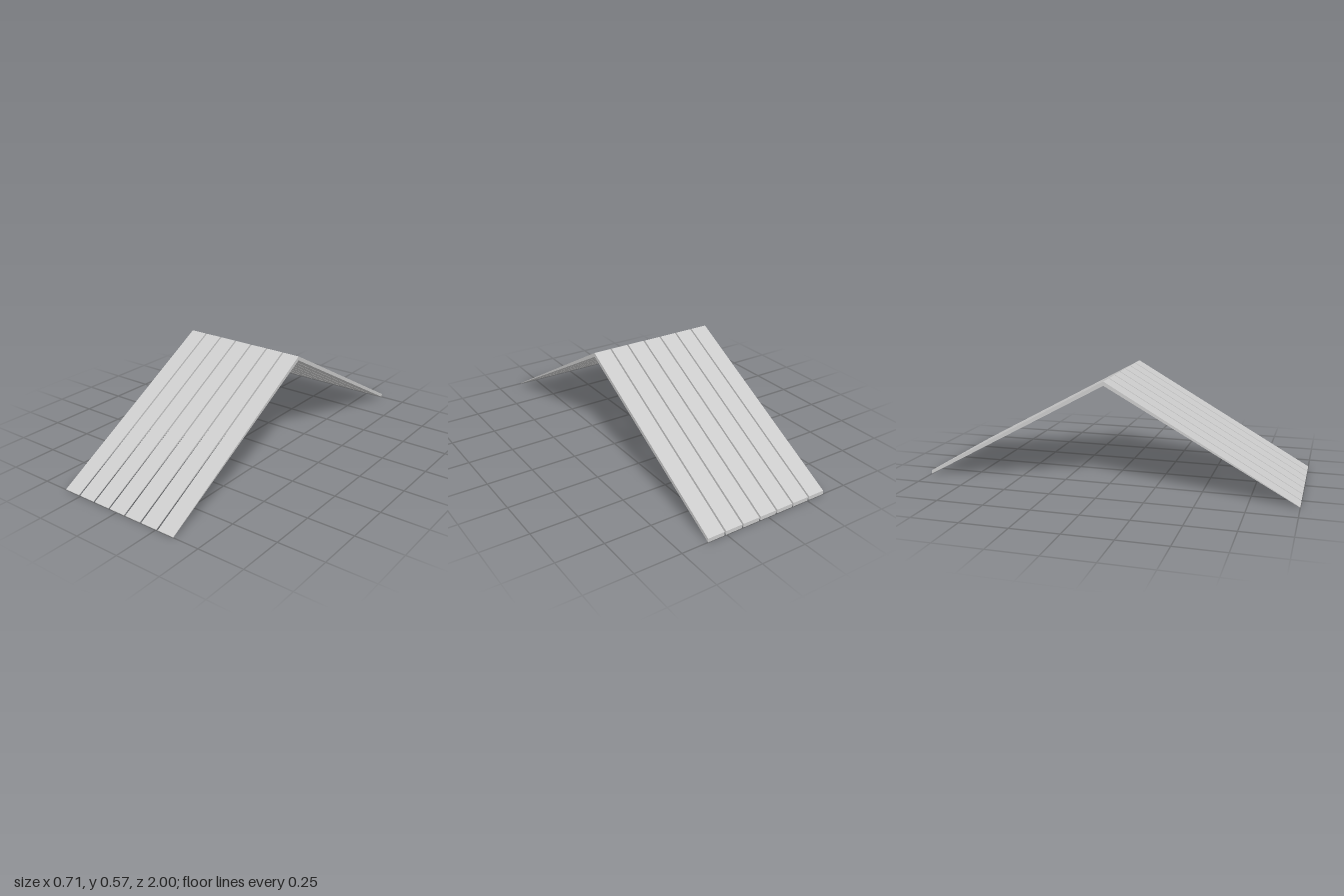
import * as THREE from 'three';

const SLATS = 7, PITCH = 0.103, WIDTH = 0.094;

export function createModel() {
  const group = new THREE.Group();
  group.name = 'slattedRoof';
  const material = new THREE.MeshStandardMaterial({ color: 0xcccccc, flatShading: true });

  // Side profile of one bent slat (front on -x): thin front eave, ridge, thicker back eave
  const profile = new THREE.Shape([
    [-1, 0], [0, 0.549], [1, 0], [1, 0.02], [0, 0.571], [-1, 0.003],
  ].map(([x, y]) => new THREE.Vector2(x, y)));

  // Extrude across the width, then turn so the profile runs along z
  const geometry = new THREE.ExtrudeGeometry(profile, { depth: WIDTH, bevelEnabled: false });
  geometry.translate(0, 0, -WIDTH / 2);
  geometry.rotateY(Math.PI / 2);

  // Row of separate slats with narrow gaps
  for (let i = 0; i < SLATS; i++) {
    const slat = new THREE.Mesh(geometry, material);
    slat.name = `roofSlat${i + 1}`;
    slat.position.x = (i - (SLATS - 1) / 2) * PITCH;
    group.add(slat);
  }
  return group;
}
